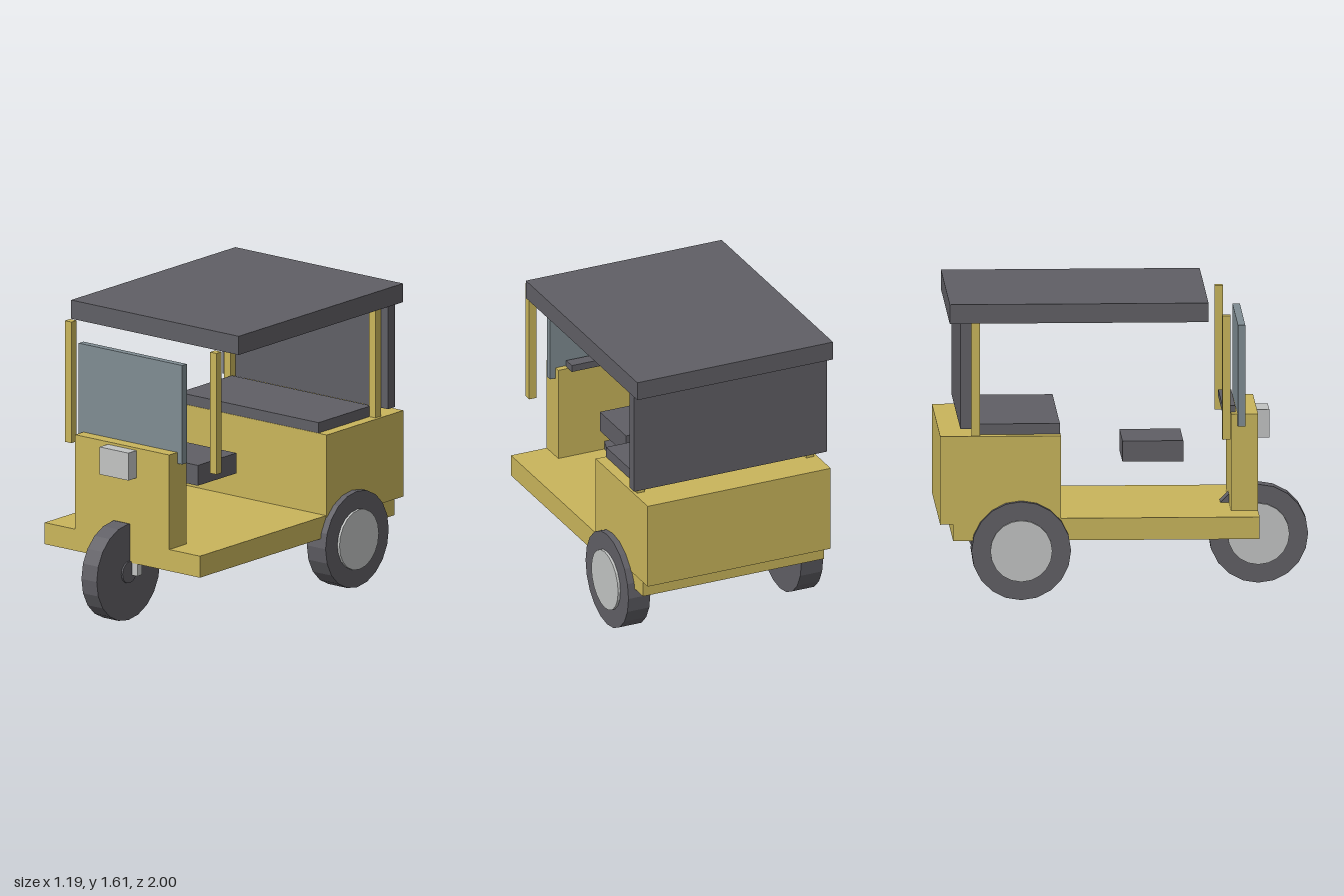
import * as THREE from 'three';

const paint = (name, color) => {
  const m = new THREE.MeshStandardMaterial({ color, flatShading: true });
  m.name = name;
  return m;
};

export function createModel() {
  const yellow = paint('yellow body', 0xc9b55b);
  const dark = paint('charcoal', 0x605f65);
  const silver = paint('silver', 0xc2c4c3);
  const glass = paint('glass', 0x7f8c92);

  const model = new THREE.Group();
  model.name = 'threeWheeler';

  // Box given by its extents on each axis
  const box = (name, mat, [x0, x1], [y0, y1], [z0, z1]) => {
    const mesh = new THREE.Mesh(new THREE.BoxGeometry(x1 - x0, y1 - y0, z1 - z0), mat);
    mesh.position.set((x0 + x1) / 2, (y0 + y1) / 2, (z0 + z1) / 2);
    mesh.name = name;
    model.add(mesh);
  };
  const wide = (w) => [-w, w];

  // Body
  box('floor', yellow, wide(0.54), [0.32, 0.44], [-0.93, 0.72]);
  box('rearBody', yellow, wide(0.545), [0.41, 0.89], [-1, -0.35]);
  box('frontPanel', yellow, wide(0.327), [0.44, 0.967], [0.575, 0.72]);
  box('headlight', silver, wide(0.1), [0.8, 0.953], [0.71, 0.79]);
  box('windshield', glass, wide(0.36), [0.905, 1.457], [0.61, 0.65]);
  box('handlebar', dark, wide(0.268), [0.965, 1.003], [0.53, 0.6]);

  // Seats
  box('driverSeat', dark, wide(0.2), [0.69, 0.803], [-0.005, 0.323]);
  box('passengerSeat', dark, wide(0.485), [0.88, 0.948], [-0.8, -0.353]);

  // Canopy
  box('roof', dark, wide(0.583), [1.511, 1.615], [-0.95, 0.443]);
  box('backCurtain', dark, wide(0.575), [0.937, 1.511], [-0.893, -0.833]);

  // Posts and front fork legs, mirrored
  for (const s of [-1, 1]) {
    const side = s < 0 ? 'right' : 'left';
    const span = (a, b) => (s < 0 ? [-b, -a] : [a, b]);
    box(side + 'FrontPost', yellow, span(0.482, 0.527), [0.86, 1.535], [0.52, 0.564]);
    box(side + 'RearPost', yellow, span(0.482, 0.527), [0.86, 1.511], [-0.83, -0.786]);
    box(side + 'ForkLeg', silver, span(0.064, 0.1), [0.25, 0.6], [0.674, 0.714]);
  }

  // Wheel: tyre, hubcap on the outer side, axle stub on the inner side
  const wheel = (name, x, z, width, outer) => {
    const group = new THREE.Group();
    group.name = name;
    const disc = (part, mat, r, w, cx) => {
      const mesh = new THREE.Mesh(new THREE.CylinderGeometry(r, r, w, 20).rotateZ(Math.PI / 2), mat);
      mesh.position.x = cx * outer;
      mesh.name = part;
      group.add(mesh);
    };
    const half = width / 2;
    disc('tyre', dark, 0.268, width, 0);
    disc('hubcap', silver, 0.167, 0.034, half - 0.003);
    disc('axleStub', dark, 0.06, 0.03, -half + 0.005);
    group.position.set(x, 0.27, z);
    model.add(group);
  };
  wheel('frontWheel', 0, 0.733, 0.106, -1);
  wheel('rightRearWheel', -0.515, -0.565, 0.13, -1);
  wheel('leftRearWheel', 0.515, -0.565, 0.13, 1);

  return model;
}
